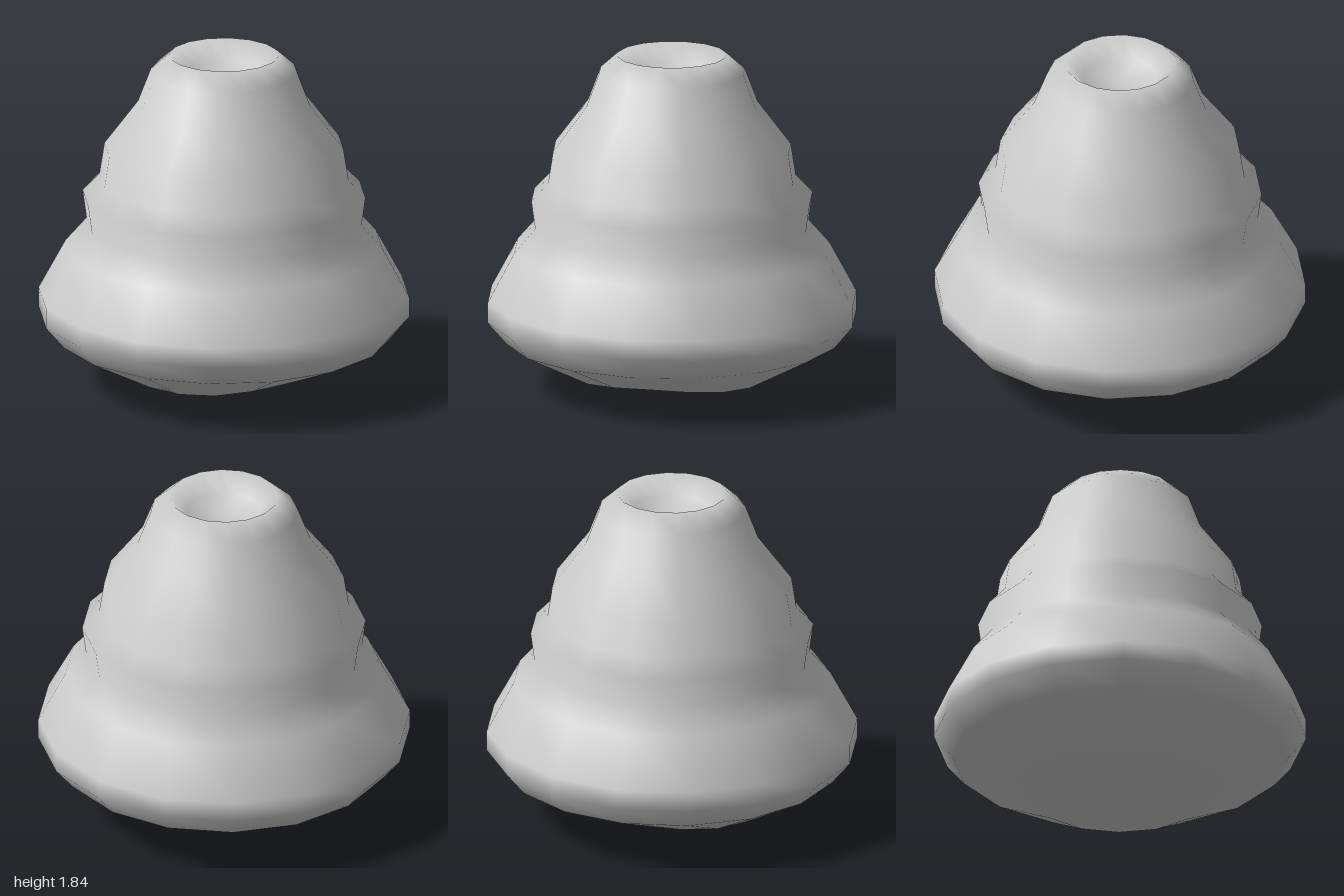
import * as THREE from 'three';
import { mergeVertices } from 'three/addons/utils/BufferGeometryUtils.js';

// Outer profile from the base tip up to the rim, then down into the hollow: [radius, height]
const PROFILE = [
  [0, 0], [0.52, 0.07], [0.9, 0.27], [1, 0.39], [1, 0.5],
  [0.855, 0.77], [0.742, 0.9], [0.763, 1.055], [0.672, 1.15], [0.645, 1.325],
  [0.465, 1.565], [0.395, 1.75], [0.295, 1.84], [0.2, 1.75], [0, 1.7],
];
const SIDES = 16;

export function createModel() {
  const group = new THREE.Group();
  group.name = 'steppedBell';

  const points = PROFILE.map(([r, y]) => new THREE.Vector2(r, y));
  let geometry = new THREE.LatheGeometry(points, SIDES);

  // The shallow base ring lifts a little toward the left and right
  const pos = geometry.attributes.position;
  for (let i = 0; i < pos.count; i++) {
    if (i % PROFILE.length === 1) {
      pos.setY(i, 0.07 + 0.04 * (pos.getX(i) / 0.52) ** 4);
    }
  }

  // Weld the seam and poles so the shading stays smooth all round
  geometry.deleteAttribute('uv');
  geometry.deleteAttribute('normal');
  geometry = mergeVertices(geometry);
  geometry.computeVertexNormals();

  const body = new THREE.Mesh(geometry, new THREE.MeshStandardMaterial({ color: 0xcccccc }));
  body.name = 'body';
  group.add(body);
  return group;
}
